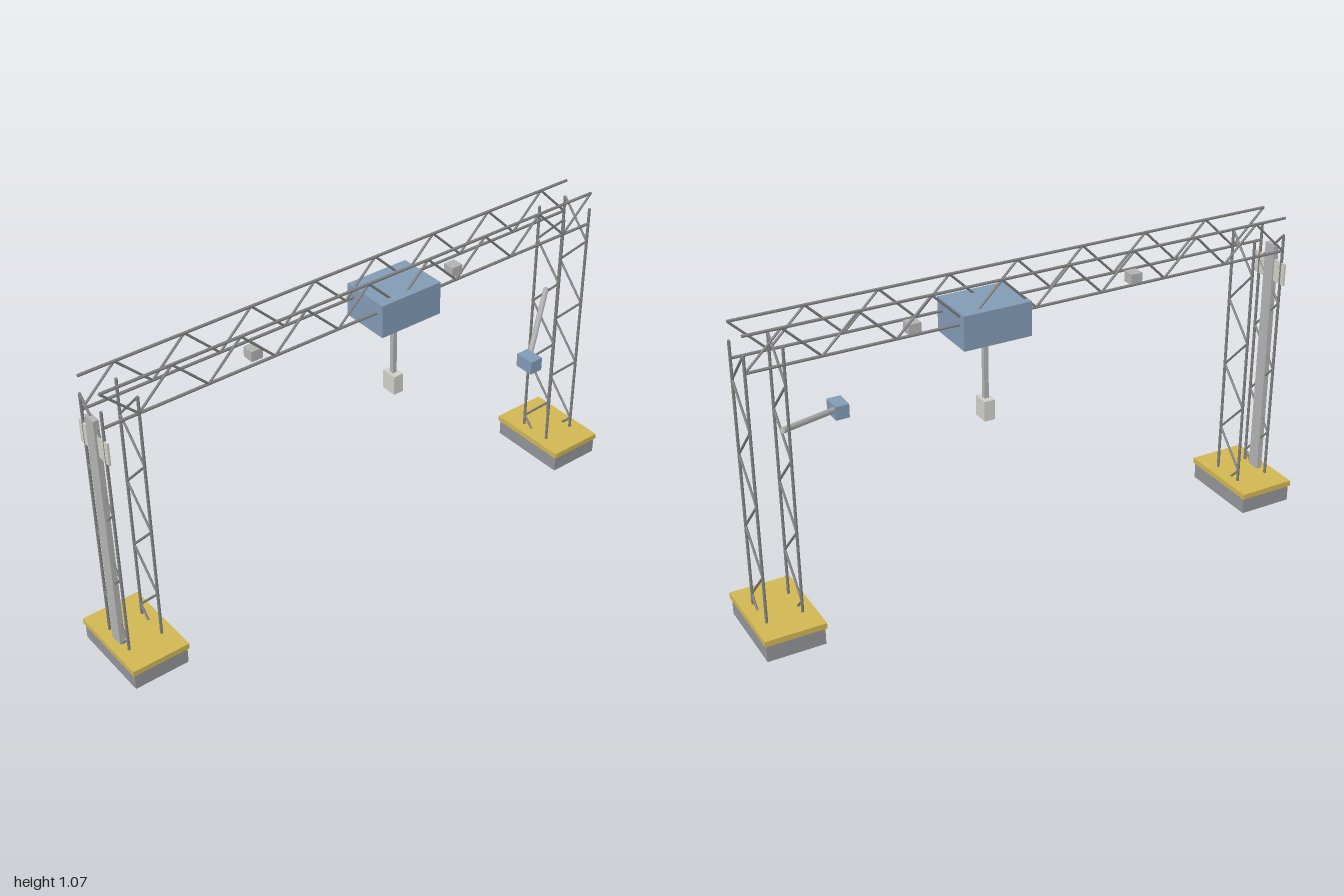
import * as THREE from 'three';

const material = (color) => new THREE.MeshStandardMaterial({ color });
const steel = material(0x808080);
const concrete = material(0x929498);
const yellow = material(0xd0b653);
const blue = material(0x829bb5);
const lightGrey = material(0xb2b2b2);
const pale = material(0xd0cfc9);

const MID = -0.045;                 // gantry centre line in x
const SIDES = [-0.104, 0.014];      // x of the posts and chords
const LOW = 0.943, HIGH = 1.06;     // heights of the beam chords
const END = 0.957, INNER = 0.837;   // z of the outer and inner posts

// Box given by its minimum and maximum corners
function box(name, min, max, mat) {
  const size = max.map((v, i) => v - min[i]);
  const mesh = new THREE.Mesh(new THREE.BoxGeometry(...size), mat);
  mesh.position.set(...max.map((v, i) => (v + min[i]) / 2));
  mesh.name = name;
  return mesh;
}

// Round tube between two points
function tube(name, from, to, radius, mat = steel) {
  const a = new THREE.Vector3(...from), b = new THREE.Vector3(...to);
  const dir = b.clone().sub(a);
  const mesh = new THREE.Mesh(new THREE.CylinderGeometry(radius, radius, dir.length(), 8), mat);
  mesh.position.copy(a).add(b).multiplyScalar(0.5);
  mesh.quaternion.setFromUnitVectors(new THREE.Vector3(0, 1, 0), dir.normalize());
  mesh.name = name;
  return mesh;
}

// Zigzag bracing; point(t, side) gives a place along the run on rail 0 or 1
function lacing(group, bays, phase, point) {
  for (let i = 0; i < bays; i++) {
    const s = (i + phase) % 2;
    group.add(tube('diagonalBrace', point(i / bays, s), point((i + 1) / bays, 1 - s), 0.004));
  }
}

// Tower of four posts, braced on its front and back faces, on a footing
function tower(name, sign) {
  const g = new THREE.Group();
  g.name = name;
  const zs = [sign * END, sign * INNER];
  zs.forEach((z, face) => {
    for (const x of SIDES) g.add(tube('post', [x, 0, z], [x, 1, z], 0.005));
    lacing(g, 8, face, (t, s) => [SIDES[s], t, z]);
  });
  const c = sign * 0.8975;
  g.add(box('footing', [MID - 0.149, 0.006, c - 0.0975], [MID + 0.149, 0.065, c + 0.0975], concrete));
  g.add(box('footingCap', [MID - 0.154, 0.065, c - 0.1025], [MID + 0.154, 0.085, c + 0.1025], yellow));
  return g;
}

// Long beam of four chords with laced sides
function beam() {
  const g = new THREE.Group();
  g.name = 'beam';
  const ys = [LOW, HIGH];
  SIDES.forEach((x, side) => {
    for (const y of ys) g.add(tube('chord', [x, y, -END], [x, y, END], 0.005));
    lacing(g, 16, side, (t, s) => [x, ys[s], END * (1 - 2 * t)]);
  });
  return g;
}

export function createModel() {
  const model = new THREE.Group();
  model.name = 'gantry';
  model.add(tower('frontTower', 1), tower('backTower', -1), beam());

  // Upright panel with a plate on each side, on the front tower
  model.add(box('uprightPanel', [-0.069, 0.085, 0.949], [-0.021, 0.95, 0.968], lightGrey));
  model.add(box('rightPlate', [-0.124, 0.822, 0.954], [-0.069, 0.9, 0.961], pale));
  model.add(box('leftPlate', [-0.021, 0.822, 0.954], [0.034, 0.9, 0.961], pale));

  // Housing hung in the beam, with its rod and head
  const hoist = new THREE.Group();
  hoist.name = 'hoist';
  hoist.add(box('housing', [-0.134, 0.864, -0.268], [0.044, 0.981, -0.031], blue));
  hoist.add(box('rod', [MID - 0.008, 0.638, -0.158], [MID + 0.008, 0.866, -0.142], lightGrey));
  hoist.add(box('head', [MID - 0.029, 0.57, -0.169], [MID + 0.029, 0.64, -0.131], pale));
  model.add(hoist);

  // Small units under the beam
  for (const z of [-0.398, 0.398]) {
    model.add(box('sensorUnit', [MID - 0.021, 0.924, z - 0.021], [MID + 0.021, 0.96, z + 0.021], lightGrey));
  }

  // Arm reaching from the back tower to a control box
  const arm = new THREE.Group();
  arm.name = 'controlArm';
  arm.add(tube('arm', [MID, 0.7, -INNER], [0.155, 0.617, -0.575], 0.01, lightGrey));
  arm.add(box('controlBox', [0.128, 0.59, -0.594], [0.198, 0.638, -0.546], blue));
  model.add(arm);
  return model;
}
